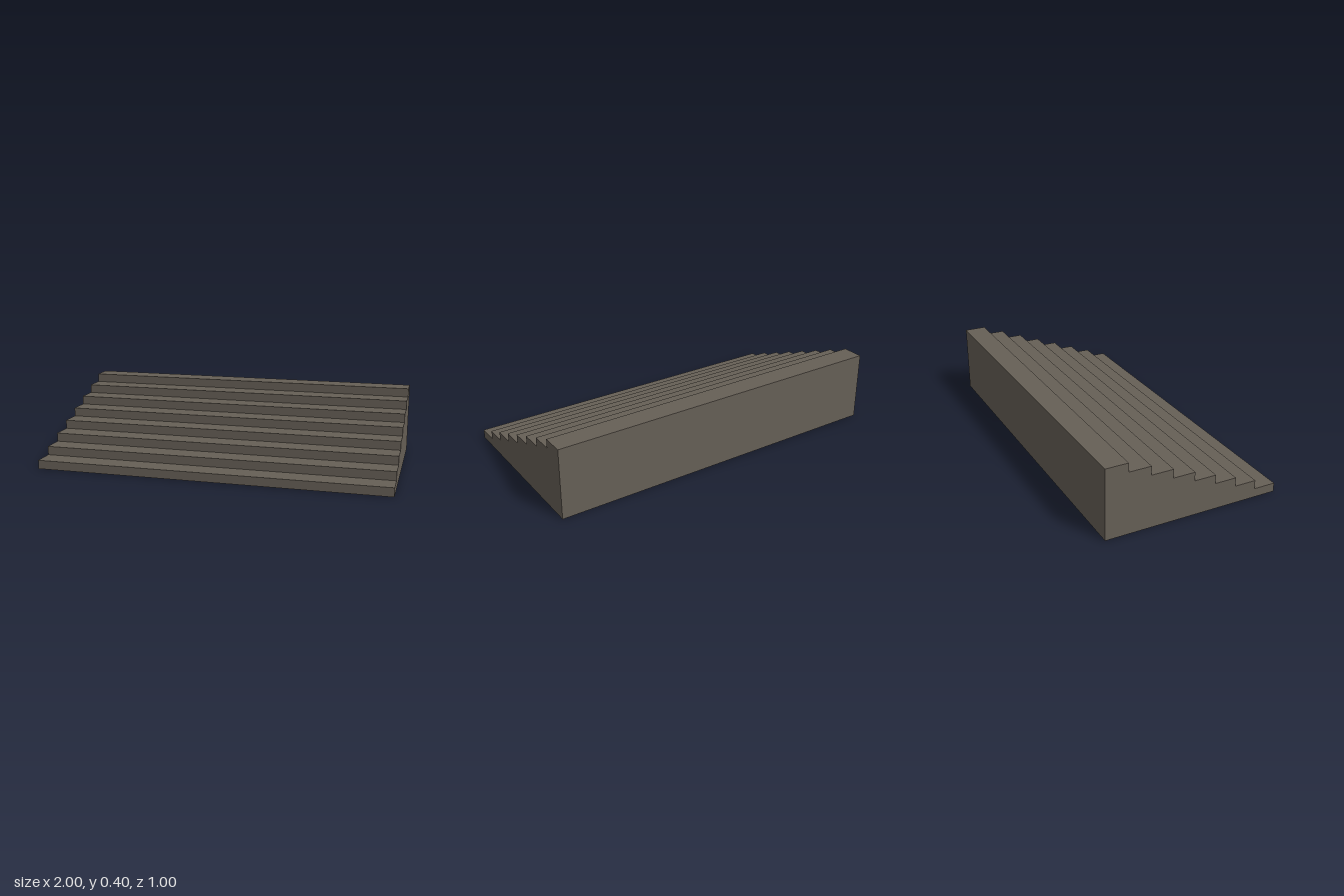
import * as THREE from 'three';

const WIDTH = 2, DEPTH = 1, HEIGHT = 0.4, STEPS = 8;

export function createModel() {
  const group = new THREE.Group();
  group.name = 'staircase';

  const stone = new THREE.MeshStandardMaterial({ color: 0x665f56 });
  stone.name = 'stone';

  // Side profile: shape x is model z, climbing from the front to the back
  const run = DEPTH / STEPS, rise = HEIGHT / STEPS;
  const profile = new THREE.Shape();
  profile.moveTo(-DEPTH / 2, 0);
  profile.lineTo(DEPTH / 2, 0);
  for (let i = 0; i < STEPS; i++) {
    const y = (i + 1) * rise;
    profile.lineTo(DEPTH / 2 - i * run, y);       // riser
    profile.lineTo(DEPTH / 2 - (i + 1) * run, y); // tread
  }
  profile.closePath();

  // Solid flight of steps, extruded across the width
  const geometry = new THREE.ExtrudeGeometry(profile, { depth: WIDTH, bevelEnabled: false });
  geometry.translate(0, 0, -WIDTH / 2);
  geometry.rotateY(-Math.PI / 2);

  const steps = new THREE.Mesh(geometry, stone);
  steps.name = 'steps';
  group.add(steps);
  return group;
}
